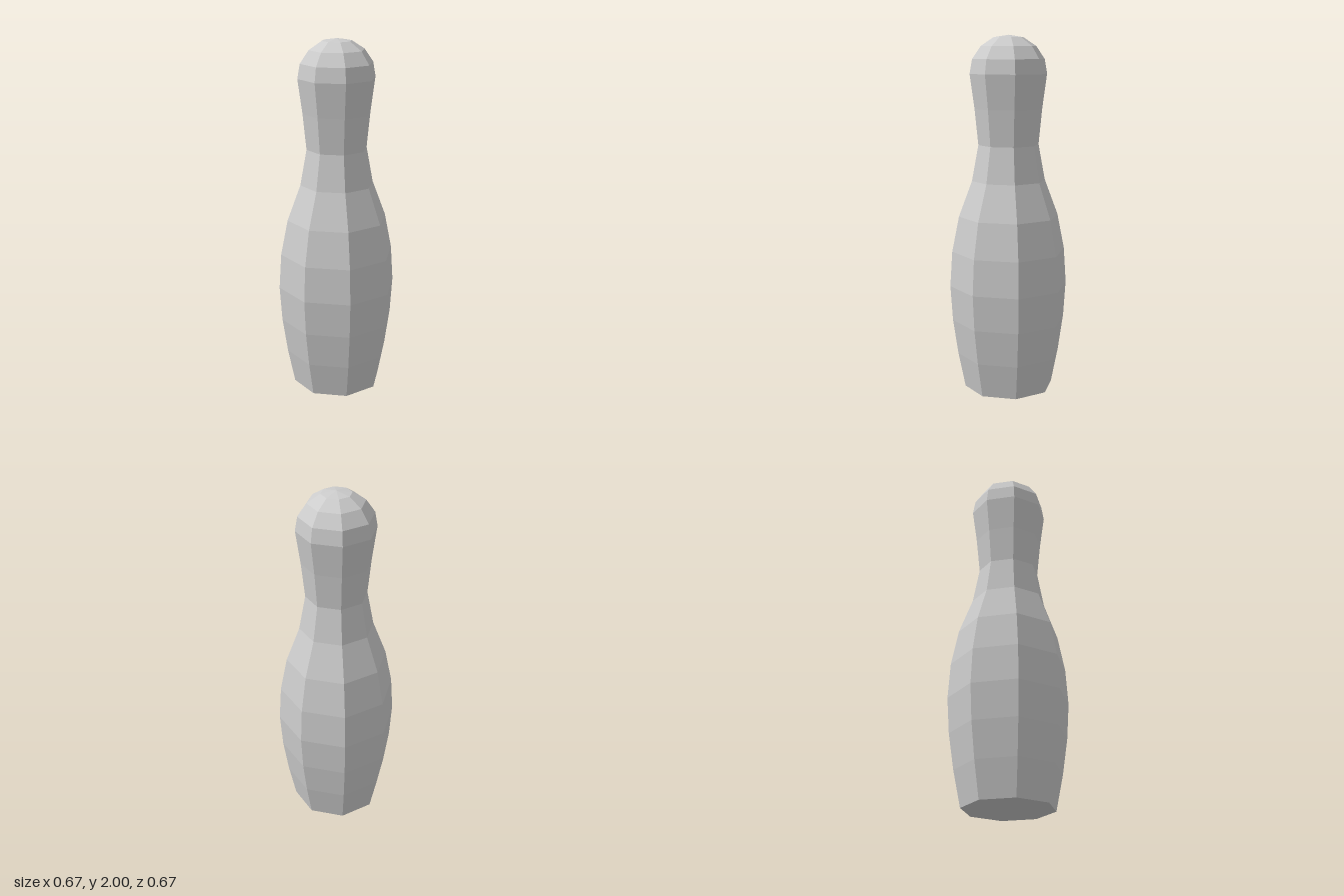
import * as THREE from 'three';

export function createModel() {
  const group = new THREE.Group();
  group.name = 'bowlingPin';

  const paleGrey = new THREE.MeshStandardMaterial({ color: 0xcccccc });
  paleGrey.name = 'paleGrey';
  paleGrey.flatShading = true;

  // Radius and height, from the centre of the base up to the crown
  const profile = [
    [0, 0], [0.253, 0], [0.293, 0.2], [0.322, 0.4], [0.335, 0.6],
    [0.322, 0.8], [0.282, 1.0], [0.207, 1.2], [0.17, 1.4], [0.19, 1.6],
    [0.216, 1.79], [0.202, 1.87], [0.154, 1.94], [0.083, 1.987], [0, 2],
  ].map(([r, y]) => new THREE.Vector2(r, y));

  // Eight-sided pin with corners on the x and z axes
  const pin = new THREE.Mesh(new THREE.LatheGeometry(profile, 8), paleGrey);
  pin.name = 'pinBody';
  group.add(pin);

  return group;
}
